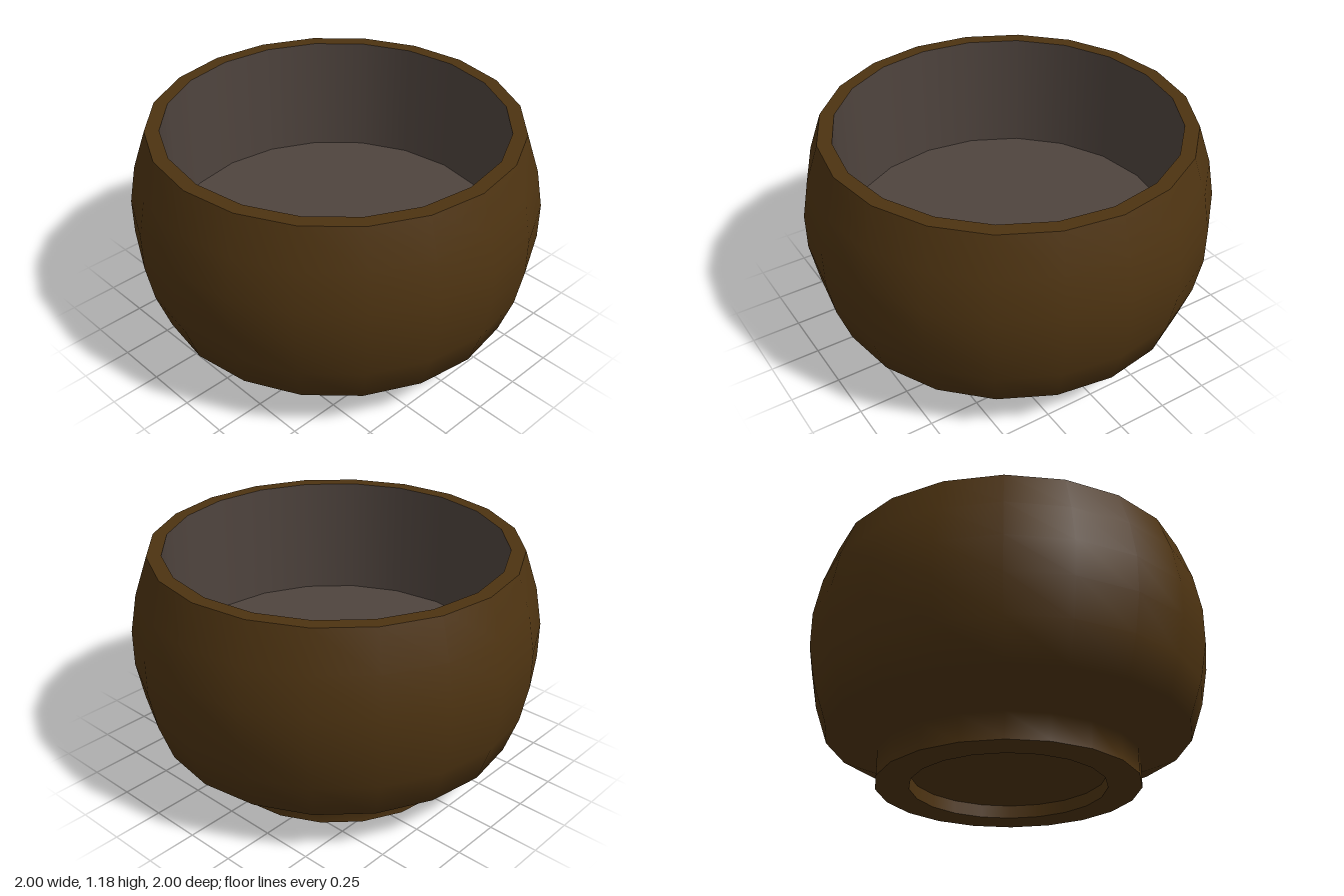
import * as THREE from 'three';

const SIDES = 20;

export function createModel() {
  const bowl = new THREE.Group();
  bowl.name = 'bowl';

  const wood = new THREE.MeshStandardMaterial({ color: 0x4d3311 });
  const lining = new THREE.MeshStandardMaterial({ color: 0x4f443e });

  // Each band is smooth in itself and meets its neighbours at a sharp edge.
  const addBand = (name, material, profile) => {
    const points = profile.map(([r, y]) => new THREE.Vector2(r, y));
    const mesh = new THREE.Mesh(new THREE.LatheGeometry(points, SIDES), material);
    mesh.name = name;
    bowl.add(mesh);
  };

  // Underside: recess ceiling, recess wall and the ring it stands on
  addBand('footRecessCeiling', wood, [[0, 0.066], [0.48, 0.066]]);
  addBand('footRecessWall', wood, [[0.48, 0.066], [0.48, 0]]);
  addBand('footRing', wood, [[0.48, 0], [0.645, 0]]);

  // Foot and rounded body in one smooth sweep
  addBand('outerWall', wood, [
    [0.645, 0], [0.645, 0.13], [0.9, 0.24], [0.965, 0.43],
    [1, 0.62], [1, 0.8], [0.965, 0.99], [0.9, 1.18],
  ]);
  addBand('rim', wood, [[0.9, 1.18], [0.83, 1.18]]);

  // Straight-sided interior
  addBand('innerWall', lining, [[0.83, 1.18], [0.83, 0.565]]);
  addBand('innerFloor', lining, [[0.83, 0.565], [0, 0.565]]);

  return bowl;
}
